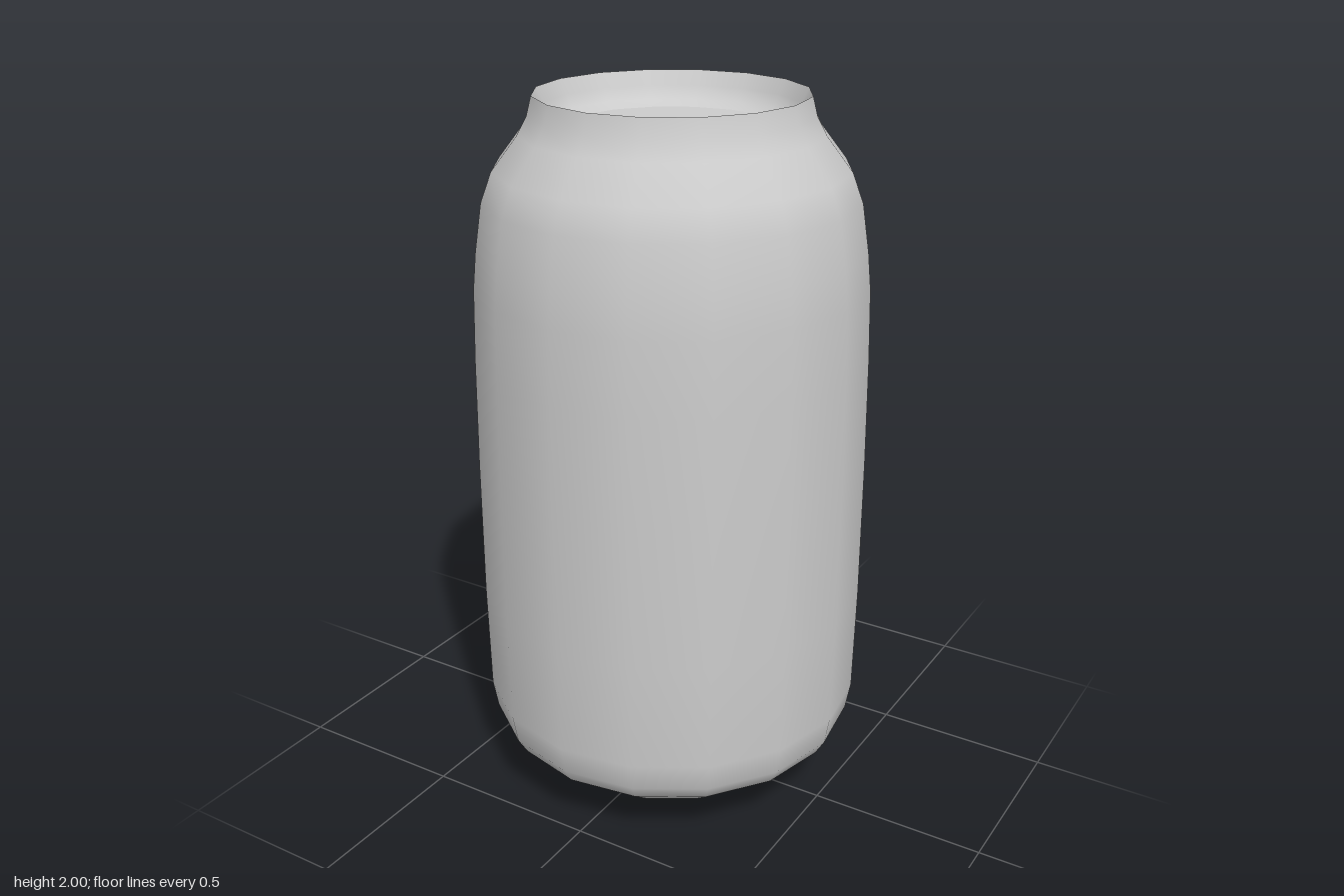
import * as THREE from 'three';

const SIDES = 16;
const TURN = -0.05; // slight twist of the polygon around the axis
const LID_Y = 1.91;
const LID_R = 0.29;

export function createModel() {
  const can = new THREE.Group();
  can.name = 'drinkCan';
  const material = new THREE.MeshStandardMaterial({ color: 0xcccccc, side: THREE.DoubleSide });

  const add = (name, geometry) => {
    const mesh = new THREE.Mesh(geometry, material);
    mesh.name = name;
    can.add(mesh);
    return mesh;
  };
  const lathe = (profile) => new THREE.LatheGeometry(
    profile.map(([r, y]) => new THREE.Vector2(r, y)), SIDES, TURN);

  // Outer shell: domed base, straight wall, shoulder and neck
  add('body', lathe([
    [0, 0], [0.14, 0.008], [0.29, 0.032], [0.37, 0.065], [0.5, 0.165], [0.527, 0.21],
    [0.541, 0.29], [0.546, 0.6], [0.545, 1.0], [0.541, 1.3], [0.535, 1.5], [0.525, 1.6],
    [0.505, 1.73], [0.475, 1.81], [0.405, 1.9], [0.378, 1.95], [0.365, 2],
  ]));

  // Inside of the rim, curving down to the lid
  add('innerRim', lathe([
    [0.365, 2], [0.345, 1.96], [0.328, 1.925], [LID_R, LID_Y],
  ]));

  // Recessed lid with an oval drinking hole towards the front
  const outline = [];
  for (let i = 0; i < SIDES; i++) {
    const a = TURN + (i / SIDES) * Math.PI * 2;
    outline.push(new THREE.Vector2(LID_R * Math.sin(a), -LID_R * Math.cos(a)));
  }
  const lidShape = new THREE.Shape(outline);
  const hole = new THREE.Path();
  hole.absellipse(-0.042, -0.186, 0.118, 0.063, 0, Math.PI * 2, true);
  lidShape.holes.push(hole);
  const lid = add('lid', new THREE.ShapeGeometry(lidShape, 20).rotateX(-Math.PI / 2));
  lid.position.y = LID_Y;

  return can;
}
